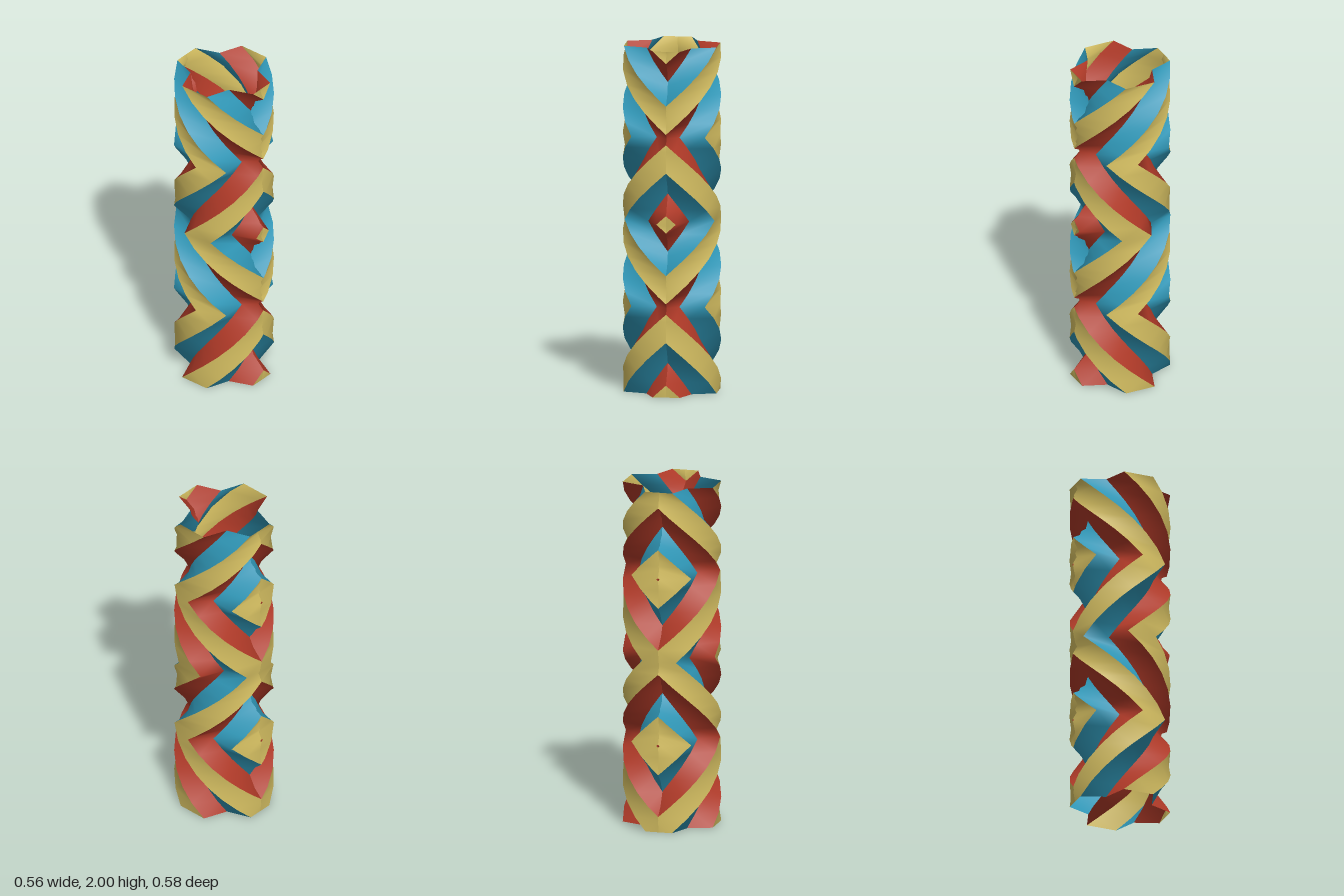
import * as THREE from 'three';

const RIM = 0.293, NOTCH = 0.2, AXIS = 0.012; // ridge radius, groove radius, axis offset of each half
const TWIST = 219.8;                          // degrees per unit of height
const FOLDS = [0, 0.511, 1.001, 1.491, 2];    // heights where the twist reverses
const ROWS = 7;                               // rows between two folds

const material = (name, color) => {
  const m = new THREE.MeshStandardMaterial({ color, side: THREE.DoubleSide });
  m.name = name;
  return m;
};

// Rows of [height, twist angle], winding back and forth
function twistRows() {
  const rows = [[0, 0]];
  let turn = 0;
  for (let s = 0; s < FOLDS.length - 1; s++) {
    const h = (FOLDS[s + 1] - FOLDS[s]) / ROWS;
    for (let i = 1; i <= ROWS; i++) {
      turn += (s % 2 ? 1 : -1) * TWIST * h;
      rows.push([FOLDS[s] + h * i, turn]);
    }
  }
  return rows;
}

// One twisted ribbon between two section corners [angle, radius]
function ribbon(rows, from, to) {
  const pos = [], index = [];
  rows.forEach(([y, turn], i) => {
    for (const [angle, r] of [from, to]) {
      const a = THREE.MathUtils.degToRad(angle + turn);
      pos.push(r * Math.sin(a) - AXIS, y, r * Math.cos(a));
    }
    if (i) {
      const a = 2 * i - 2;
      index.push(a, a + 1, a + 3, a, a + 3, a + 2);
    }
  });
  const g = new THREE.BufferGeometry();
  g.setAttribute('position', new THREE.Float32BufferAttribute(pos, 3));
  g.setIndex(index);
  g.computeVertexNormals();
  return g.toNonIndexed();
}

// Keep the x >= 0 side of each triangle and add its mirror image
function clipAndMirror(g, pos, nor) {
  const p = g.attributes.position, n = g.attributes.normal;
  const push = (v, side) => {
    pos.push(side * v[0], v[1], v[2]);
    nor.push(side * v[3], v[4], v[5]);
  };
  for (let t = 0; t < p.count; t += 3) {
    const tri = [0, 1, 2].map((k) => {
      const i = t + k;
      return [p.getX(i), p.getY(i), p.getZ(i), n.getX(i), n.getY(i), n.getZ(i)];
    });
    const poly = [];
    tri.forEach((a, k) => {
      const b = tri[(k + 1) % 3];
      if (a[0] >= 0) poly.push(a);
      if ((a[0] >= 0) !== (b[0] >= 0)) {
        const f = a[0] / (a[0] - b[0]);
        poly.push(a.map((v, j) => (j ? v + (b[j] - v) * f : 0)));
      }
    });
    for (let k = 1; k < poly.length - 1; k++) {
      [poly[0], poly[k], poly[k + 1]].forEach((v) => push(v, 1));
      [poly[0], poly[k + 1], poly[k]].forEach((v) => push(v, -1));
    }
  }
}

export function createModel() {
  const group = new THREE.Group();
  group.name = 'foldedTwistTube';
  const rows = twistRows();

  // Four-lobed section: flat ridge, then the two flanks of a groove
  const bands = [
    ['ridges', material('sand yellow', 0xd6c062), [-18, RIM], [18, RIM]],
    ['redFlanks', material('brick red', 0xb03a28), [18, RIM], [45, NOTCH]],
    ['blueFlanks', material('teal blue', 0x3098b8), [45, NOTCH], [72, RIM]],
  ];
  for (const [name, mat, from, to] of bands) {
    const pos = [], nor = [];
    for (let q = 0; q < 360; q += 90) {
      clipAndMirror(ribbon(rows, [from[0] + q, from[1]], [to[0] + q, to[1]]), pos, nor);
    }
    const g = new THREE.BufferGeometry();
    g.setAttribute('position', new THREE.Float32BufferAttribute(pos, 3));
    g.setAttribute('normal', new THREE.Float32BufferAttribute(nor, 3));
    const mesh = new THREE.Mesh(g, mat);
    mesh.name = name;
    group.add(mesh);
  }
  return group;
}
